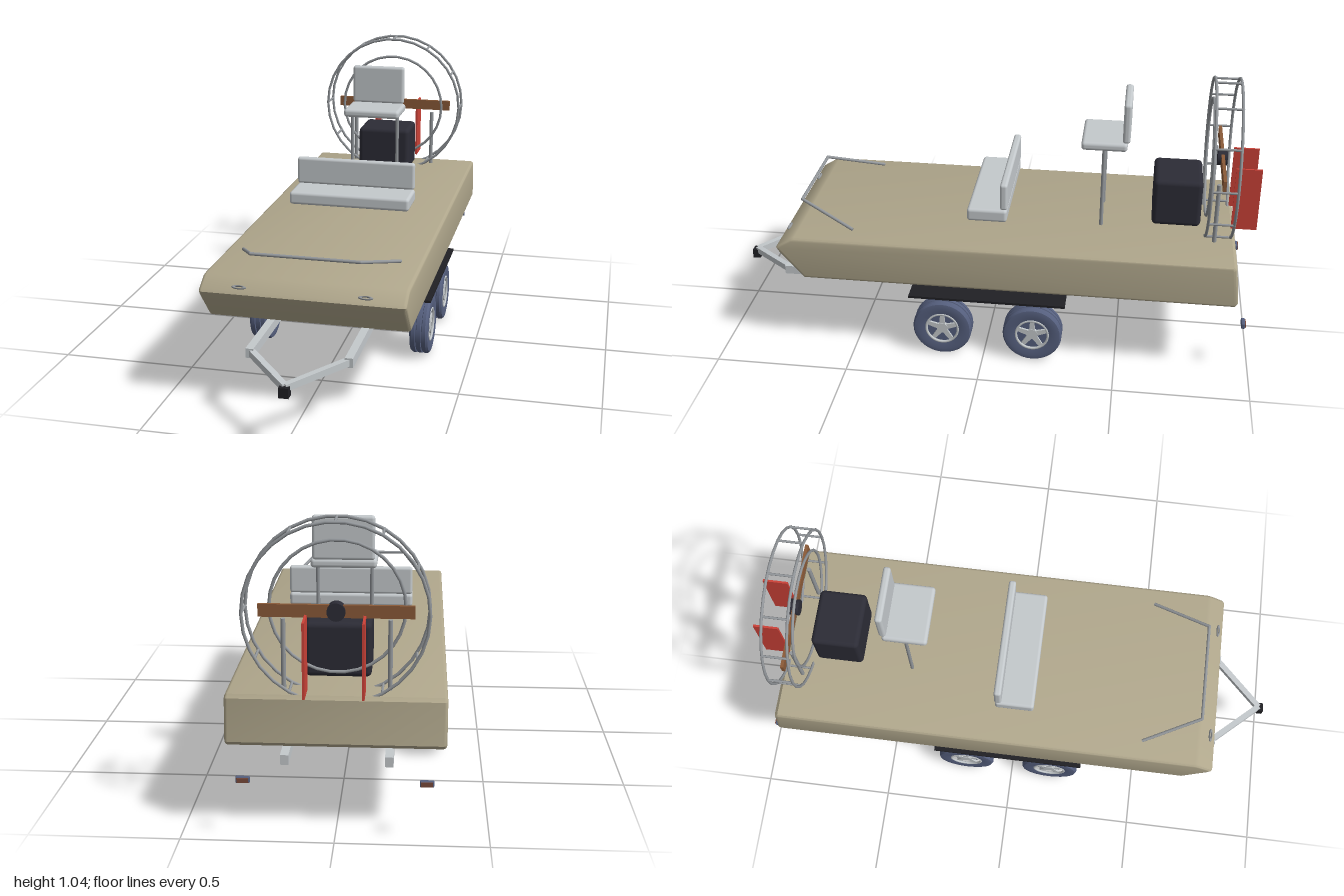
import * as THREE from 'three';
import { toCreasedNormals } from 'three/addons/utils/BufferGeometryUtils.js';
import { RoundedBoxGeometry } from 'three/addons/geometries/RoundedBoxGeometry.js';

const paint = (name, color) => {
  const m = new THREE.MeshStandardMaterial({ color });
  m.name = name;
  return m;
};

export function createModel() {
  const model = new THREE.Group();
  model.name = 'airboatOnTrailer';

  const hullTan = paint('hullTan', 0xb0a78c);
  const seatGrey = paint('seatGrey', 0xc4c9cc);
  const tubeGrey = paint('tubeGrey', 0x93979b);
  const engineBlack = paint('engineBlack', 0x2c2c36);
  const trailerBlack = paint('trailerBlack', 0x202024);
  const tyreBlue = paint('tyreBlue', 0x56607f);
  const wood = paint('wood', 0x8b5a38);
  const red = paint('rudderRed', 0xcc4238);
  const lens = paint('lensBrown', 0x7a4a3c);

  const add = (name, geo, mat, x = 0, y = 0, z = 0, parent = model) => {
    const m = new THREE.Mesh(geo, mat);
    m.name = name;
    m.position.set(x, y, z);
    parent.add(m);
    return m;
  };
  const box = (name, w, h, d, mat, x, y, z, parent) =>
    add(name, new THREE.BoxGeometry(w, h, d), mat, x, y, z, parent);
  const cushion = (name, w, h, d, r, mat, x, y, z) =>
    add(name, new RoundedBoxGeometry(w, h, d, 3, r), mat, x, y, z);
  const V = (x, y, z) => new THREE.Vector3(x, y, z);

  // Round rod, or square bar when thickness h is given, between two points
  const rod = (name, a, b, r, mat, h) => {
    const len = a.distanceTo(b);
    const geo = h
      ? new THREE.BoxGeometry(r, h, len)
      : new THREE.CylinderGeometry(r, r, len, 10).rotateX(Math.PI / 2);
    const m = add(name, geo, mat);
    m.position.copy(a).add(b).multiplyScalar(0.5);
    m.lookAt(b);
    return m;
  };

  // Hull: side profile (z, y) extruded across the beam
  const bevel = 0.012;
  const profile = new THREE.Shape([
    [0.68, 0.302], [0.77, 0.405], [0.782, 0.425], [0.775, 0.435], [0.725, 0.466], [0.71, 0.47],
    [-0.91, 0.47], [-0.922, 0.458], [-0.936, 0.315], [-0.926, 0.302],
  ].map(([z, y]) => new THREE.Vector2(z, y)).reverse());
  const hull = new THREE.ExtrudeGeometry(profile, {
    depth: 0.716 - 2 * bevel, bevelEnabled: true, bevelThickness: bevel,
    bevelSize: bevel, bevelOffset: -bevel, bevelSegments: 3,
  });
  hull.translate(0, 0, -(0.358 - bevel)).rotateY(-Math.PI / 2);
  add('hull', toCreasedNormals(hull, 0.6), hullTan);

  // Bow rail
  const railPts = [V(-0.285, 0.485, 0.5), V(-0.19, 0.55, 0.715), V(0.19, 0.55, 0.715), V(0.285, 0.485, 0.5)];
  for (let i = 0; i < 3; i++) rod('bowRail', railPts[i], railPts[i + 1], 0.006, tubeGrey);
  for (const p of railPts.slice(1, 3)) add('bowRailJoint', new THREE.SphereGeometry(0.006, 10, 8), tubeGrey, p.x, p.y, p.z);

  // Bow cleats
  for (const s of [-1, 1]) {
    const cleat = add('cleat', new THREE.TorusGeometry(0.012, 0.0045, 8, 16), tubeGrey, s * 0.218, 0.445, 0.764);
    cleat.scale.set(1.6, 0.45, 1);
    cleat.rotation.x = -0.9;
  }

  // Front bench and raised driver seat
  cushion('benchSeat', 0.47, 0.05, 0.15, 0.012, seatGrey, 0, 0.55, 0);
  cushion('benchBack', 0.468, 0.105, 0.028, 0.01, seatGrey, 0, 0.628, -0.063);
  cushion('driverSeat', 0.23, 0.033, 0.17, 0.013, seatGrey, 0, 0.8, -0.42);
  cushion('driverBack', 0.216, 0.155, 0.028, 0.011, seatGrey, 0, 0.892, -0.5);
  for (const s of [-1, 1]) rod('driverSeatLeg', V(s * 0.095, 0.465, -0.42), V(s * 0.095, 0.79, -0.42), 0.007, tubeGrey);

  // Engine
  cushion('engine', 0.22, 0.185, 0.182, 0.018, engineBlack, 0, 0.582, -0.7);

  // Propeller cage: two large hoops, one small hoop, cross bars and posts
  const cy = 0.735, zFront = -0.81, zBack = -0.903, R = 0.297;
  for (const [r, z] of [[R, zFront], [R, zBack], [0.22, zFront]])
    add('cageHoop', new THREE.TorusGeometry(r, 0.0055, 8, 30), tubeGrey, 0, cy, z);
  for (let i = 0; i < 12; i++) {
    const a = i * Math.PI / 6, x = R * Math.cos(a), y = cy + R * Math.sin(a);
    if (y > 0.45) rod('cageBar', V(x, y, zFront), V(x, y, zBack), 0.0045, tubeGrey);
  }
  for (const s of [-1, 1])
    rod('cagePost', V(s * 0.172, 0.465, -0.843), V(s * 0.172, 0.704, -0.843), 0.008, tubeGrey);

  // Propeller and twin rudders
  box('propeller', 0.5, 0.042, 0.012, wood, 0, cy, -0.857);
  add('propellerHub', new THREE.CylinderGeometry(0.03, 0.03, 0.036, 24).rotateX(Math.PI / 2), engineBlack, 0, cy, -0.857);
  for (const s of [-1, 1]) box('rudder', 0.008, 0.247, 0.095, red, s * 0.093, 0.612, -0.9525);

  // Trailer frame
  for (const s of [-1, 1]) {
    box('trailerRail', 0.028, 0.034, 1.68, seatGrey, s * 0.172, 0.228, -0.03);
    rod('tongueBar', V(s * 0.168, 0.228, 0.8), V(0, 0.203, 0.98), 0.022, seatGrey, 0.024);
    box('fender', 0.092, 0.009, 0.59, trailerBlack, s * 0.313, 0.252, -0.014);
  }
  box('coupler', 0.034, 0.036, 0.03, trailerBlack, 0, 0.19, 0.985);
  for (const z of [0.345, -0.312]) box('crossBunk', 0.34, 0.035, 0.032, trailerBlack, 0, 0.268, z);

  // Tail lights
  for (const s of [-1, 1]) {
    cushion('tailLightHousing', 0.046, 0.022, 0.014, 0.004, tyreBlue, s * 0.295, 0.2, -0.967);
    box('tailLightLens', 0.038, 0.016, 0.004, lens, s * 0.295, 0.2, -0.975);
  }

  // Wheels: grooved tyre, spoked outer face, plain inner face
  const tyreProfile = [
    [0.064, -0.032], [0.09, -0.037], [0.106, -0.034], [0.112, -0.026], [0.112, -0.014], [0.106, -0.012],
    [0.106, -0.009], [0.112, -0.007], [0.112, 0.007], [0.106, 0.009], [0.106, 0.012], [0.112, 0.014],
    [0.112, 0.026], [0.106, 0.034], [0.09, 0.037], [0.064, 0.032],
  ].map(([r, y]) => new THREE.Vector2(r, y));
  const tyreGeo = toCreasedNormals(new THREE.LatheGeometry(tyreProfile, 36), 0.6).rotateZ(-Math.PI / 2);
  const disc = (r, w) => new THREE.CylinderGeometry(r, r, w, 32).rotateZ(-Math.PI / 2);
  const spokeShape = new THREE.Shape([
    [-0.011, 0.012], [0.011, 0.012], [0.008, 0.058], [-0.008, 0.058],
  ].map(p => new THREE.Vector2(...p)));
  const spokeGeo = new THREE.ExtrudeGeometry(spokeShape, { depth: 0.008, bevelEnabled: false }).rotateY(Math.PI / 2);
  for (const s of [-1, 1]) for (const z of [0.157, -0.187]) {
    const wheel = new THREE.Group();
    wheel.name = 'wheel';
    wheel.position.set(s * 0.312, 0.112, z);
    if (s < 0) wheel.rotation.y = Math.PI;
    add('tyre', tyreGeo, tyreBlue, 0, 0, 0, wheel);
    add('rimInnerFace', disc(0.065, 0.02), seatGrey, -0.022, 0, 0, wheel);
    add('rimRecess', disc(0.064, 0.02), tyreBlue, 0.006, 0, 0, wheel);
    add('rimRing', new THREE.TorusGeometry(0.061, 0.005, 8, 32).rotateY(Math.PI / 2), seatGrey, 0.03, 0, 0, wheel);
    add('rimHub', disc(0.021, 0.016), seatGrey, 0.022, 0, 0, wheel);
    for (let i = 0; i < 5; i++)
      add('spoke', spokeGeo, seatGrey, 0.02, 0, 0, wheel).rotation.x = i * Math.PI * 0.4;
    model.add(wheel);
  }

  return model;
}
